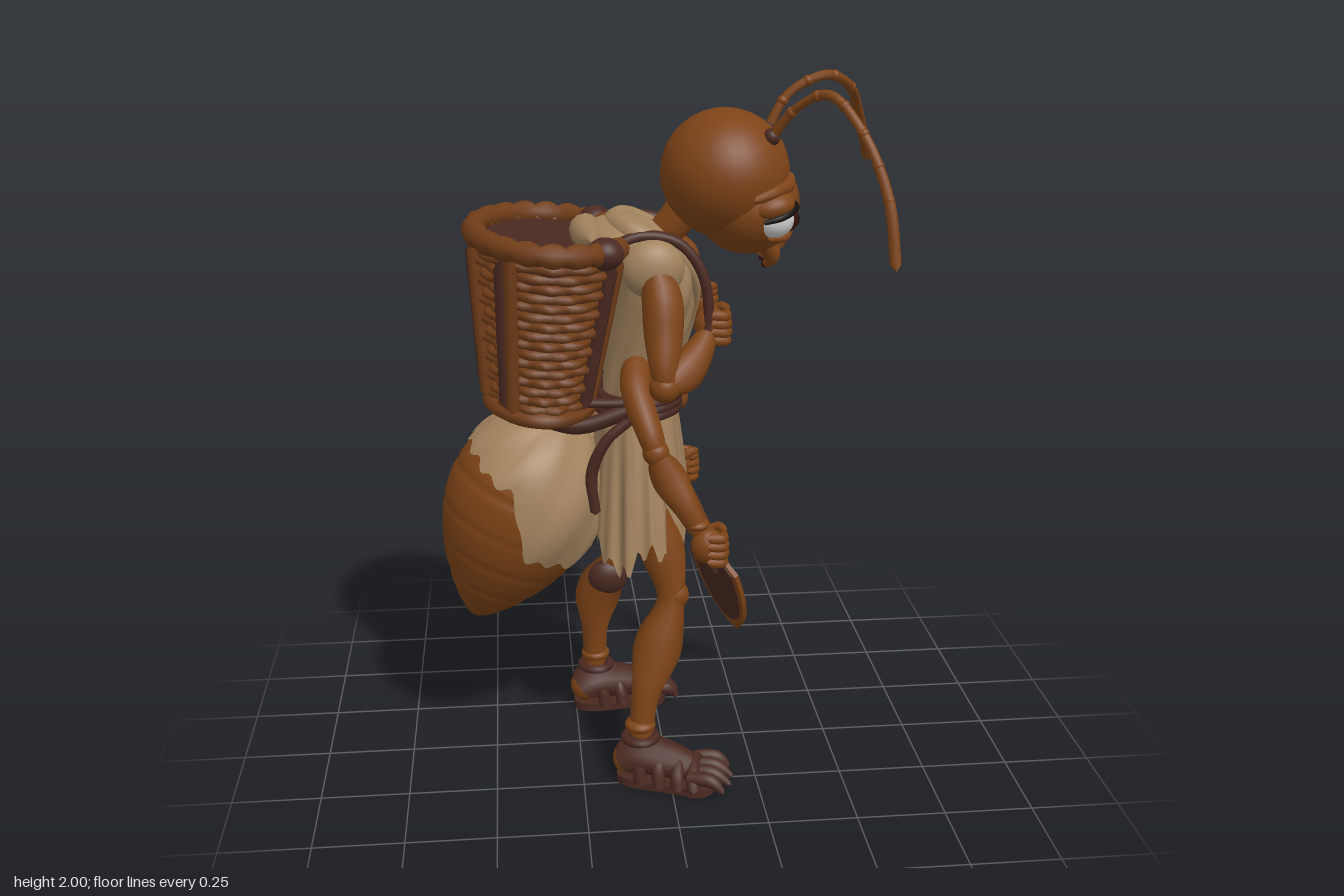
import * as THREE from 'three';
import { ParametricGeometry } from 'three/addons/geometries/ParametricGeometry.js';

const paint = (name, color, side = THREE.FrontSide) => {
  const m = new THREE.MeshStandardMaterial({ color, side });
  m.name = name;
  return m;
};
const V = (p) => new THREE.Vector3(p[0], p[1], p[2]);
const { lerp, smoothstep } = THREE.MathUtils;

export function createModel() {
  const skin = paint('chestnut skin', 0x7d4316);
  const wicker = paint('wicker brown', 0x713d18);
  const leather = paint('dark leather', 0x4a2921);
  const cloth = paint('tan cloth', 0xa1825d, THREE.DoubleSide);
  const white = paint('eye white', 0xd0d0d0);
  const iris = paint('iris brown', 0x3a130b);
  const black = paint('black', 0x15100e);
  const root = new THREE.Group();
  root.name = 'antForager';

  const add = (name, geo, mat, parent = root) => {
    const m = new THREE.Mesh(geo, mat);
    m.name = name;
    parent.add(m);
    return m;
  };
  const ball = (name, c, r, mat, parent) => {
    const m = add(name, new THREE.SphereGeometry(1, 28, 20), mat, parent);
    m.position.set(...c);
    m.scale.set(...(Array.isArray(r) ? r : [r, r, r]));
    return m;
  };
  // Rounded sweep through [x, y, z, radius] points; stretch flattens or widens its section
  const sweep = (name, pts, mat, parent, stretch = [1, 1, 1], seg = 28, sides = 12) => {
    const path = new THREE.CatmullRomCurve3(pts.map(V));
    const rad = new THREE.CatmullRomCurve3(pts.map((p) => new THREE.Vector3(p[3], 0, 0)), false, 'catmullrom');
    const g = new THREE.TubeGeometry(path, seg, 1, sides);
    const pos = g.attributes.position, L = path.getLength(), v = new THREE.Vector3();
    for (let i = 0; i <= seg; i++) {
      const u = i / seg, c = path.getPointAt(u);
      const r = rad.getPoint(path.getUtoTmapping(u)).x, d = Math.min(u, 1 - u) * L;
      const k = d < r ? r * Math.sqrt(Math.max(0, 1 - (1 - d / r) ** 2)) : r;
      for (let j = 0; j <= sides; j++) {
        const n = i * (sides + 1) + j;
        v.fromBufferAttribute(pos, n).sub(c).multiplyScalar(k).multiply(V(stretch)).add(c);
        pos.setXYZ(n, v.x, v.y, v.z);
      }
    }
    return add(name, g, mat, parent);
  };
  // Closed elliptical ring with optional radial weave bumps
  const ring = (name, c, rx, rz, r, mat, parent, bump = () => 0, seg = 96) => {
    const pts = Array.from({ length: 72 }, (_, i) => {
      const a = (i / 72) * Math.PI * 2, b = bump(a);
      return new THREE.Vector3(c[0] + Math.cos(a) * (rx + b), c[1], c[2] + Math.sin(a) * (rz + b));
    });
    return add(name, new THREE.TubeGeometry(new THREE.CatmullRomCurve3(pts, true), seg, r, 6, true), mat, parent);
  };
  const sheet = (name, f, nu, nv, mat, parent) => add(name, new ParametricGeometry(f, nu, nv), mat, parent);

  // Torso tunic: [y, centre x, radius x, radius z]
  const body = [[1.06, -0.07, 0.1, 0.14], [1.2, -0.06, 0.1, 0.14], [1.32, -0.04, 0.115, 0.165],
    [1.43, -0.03, 0.125, 0.19], [1.52, -0.05, 0.12, 0.19], [1.58, -0.06, 0.085, 0.13], [1.6, -0.06, 0.01, 0.01]];
  const curveA = new THREE.CatmullRomCurve3(body.map((b) => new THREE.Vector3(b[0], b[1], 0)), false, 'catmullrom');
  const curveB = new THREE.CatmullRomCurve3(body.map((b) => new THREE.Vector3(b[2], b[3], 0)), false, 'catmullrom');
  sheet('tunicTop', (u, v, t) => {
    const a = u * Math.PI * 2, p = curveA.getPoint(v), q = curveB.getPoint(v);
    const fold = 0.005 * Math.sin(a * 9 + v * 14);
    t.set(p.y + Math.cos(a) * (q.x + fold), p.x, Math.sin(a) * (q.y + fold));
  }, 56, 24, cloth);
  // Ragged, pleated skirt
  sheet('tunicSkirt', (u, v, t) => {
    const a = u * Math.PI * 2, fold = v * 0.011 * (Math.sin(a * 11) + 0.5 * Math.sin(a * 17 + 1));
    const hem = 0.68 + 0.035 * Math.sin(a * 5 + 0.6) + 0.025 * Math.sin(a * 23);
    const s = Math.pow(v, 0.7);
    t.set(-0.07 + Math.cos(a) * (lerp(0.105, 0.145, s) + fold), lerp(1.11, hem, v), Math.sin(a) * (lerp(0.145, 0.242, s) + fold));
  }, 110, 12, cloth);
  sweep('lapel', [[0.0, 1.57, 0.12, 0.02], [0.08, 1.46, 0.08, 0.024], [0.082, 1.32, 0, 0.02], [0.035, 1.14, -0.07, 0.014]], cloth, root, [0.6, 1, 1.2]);
  sweep('lapel', [[0.0, 1.57, -0.11, 0.02], [0.085, 1.46, -0.06, 0.022], [0.09, 1.36, 0.01, 0.014]], cloth, root, [0.6, 1, 1.2]);
  ball('chestSkin', [0.035, 1.49, 0.01], [0.07, 0.07, 0.055], skin);
  // Hood gathered behind the neck
  ball('hood', [-0.11, 1.56, 0.03], [0.125, 0.06, 0.145], cloth);
  sweep('hoodRoll', [[-0.2, 1.57, -0.09, 0.035], [-0.215, 1.58, 0.03, 0.04], [-0.2, 1.57, 0.15, 0.035]], cloth);
  sweep('hoodRoll', [[0.0, 1.55, -0.1, 0.03], [-0.09, 1.59, -0.08, 0.035], [-0.13, 1.595, 0.03, 0.035], [-0.09, 1.59, 0.13, 0.035], [0.0, 1.55, 0.13, 0.03]], cloth);

  // Belt and hanging strap
  for (const y of [1.08, 1.1, 1.12]) ring('belt', [-0.07, y, 0], 0.115, 0.155, 0.016, leather);
  ball('buckle', [0.055, 1.1, 0.005], [0.02, 0.042, 0.045], skin);
  sweep('hangingStrap', [[0.01, 1.1, -0.12, 0.014], [0.04, 0.98, -0.135, 0.014], [0.06, 0.85, -0.15, 0.014]], leather, root, [0.8, 1, 2]);

  // Neck and head, tilted a little to one side
  sweep('neck', [[-0.06, 1.46, 0.02, 0.065], [-0.02, 1.54, 0.025, 0.05], [0.03, 1.6, 0.04, 0.05], [0.09, 1.68, 0.05, 0.06]], skin);
  const head = new THREE.Group();
  head.name = 'head';
  head.position.set(0.17, 1.7, 0.055);
  head.rotation.x = 0.14;
  root.add(head);
  ball('skull', [-0.005, 0.035, 0], [0.175, 0.172, 0.182], skin, head);
  ball('face', [0.055, -0.045, 0], [0.145, 0.138, 0.172], skin, head);
  sweep('muzzle', [[0.09, 0.0, 0, 0.085], [0.12, -0.09, 0, 0.08], [0.113, -0.165, 0, 0.055], [0.108, -0.205, 0, 0.035]], skin, head, [0.9, 1, 1.2]);
  for (const s of [-1, 1]) {
    ball('eye', [0.108, -0.055, s * 0.122], [0.06, 0.052, 0.053], white, head);
    ball('iris', [0.144, -0.058, s * 0.112], [0.036, 0.038, 0.038], iris, head);
    ball('pupil', [0.166, -0.06, s * 0.114], [0.017, 0.022, 0.021], black, head);
    ball('upperLid', [0.1, -0.02, s * 0.118], [0.068, 0.04, 0.06], skin, head).rotation.z = 0.18;
    sweep('lash', [[0.172, -0.025, s * 0.075, 0.008], [0.168, -0.028, s * 0.125, 0.01], [0.125, -0.038, s * 0.17, 0.009], [0.075, -0.05, s * 0.175, 0.006]], black, head);
    sweep('brow', [[0.168, 0.035, s * 0.03, 0.012], [0.153, 0.025, s * 0.085, 0.018], [0.112, 0.022, s * 0.137, 0.016], [0.05, 0.01, s * 0.17, 0.012]], skin, head);
    sweep('lowerLid', [[0.165, -0.097, s * 0.08, 0.01], [0.145, -0.108, s * 0.12, 0.011], [0.095, -0.103, s * 0.152, 0.01]], skin, head);
    sweep('mandible', [[0.1, -0.14, s * 0.065, 0.03], [0.125, -0.185, s * 0.052, 0.022], [0.112, -0.225, s * 0.022, 0.009]], skin, head);
    ball('mandibleTip', [0.112, -0.218, s * 0.026], 0.011, iris, head);
  }
  // Jointed antennae
  const feelers = [
    [[0.275, 1.84, 0.15], [0.33, 1.92, 0.2], [0.4, 1.96, 0.265], [0.47, 1.88, 0.345], [0.53, 1.72, 0.41], [0.55, 1.54, 0.445]],
    [[0.28, 1.845, 0.04], [0.34, 1.94, 0.03], [0.445, 1.985, 0.01], [0.52, 1.95, -0.05], [0.57, 1.87, -0.155], [0.635, 1.71, -0.285]]];
  for (const f of feelers) {
    sweep('antenna', f.map((p, i) => [...p, [0.014, 0.012, 0.013, 0.013, 0.015, 0.016][i]]), skin, root, [1, 1, 1], 40, 8);
    const path = new THREE.CatmullRomCurve3(f.map(V));
    for (let i = 1; i < 8; i++) ball('antennaJoint', path.getPointAt(i / 8).toArray(), 0.015, skin);
    ball('antennaSocket', f[0], 0.023, leather);
  }

  // Hand: palm with curled fingers
  const hand = (c, s) => {
    ball('palm', c, [0.045, 0.05, 0.038], skin);
    for (let i = 0; i < 4; i++) {
      const y = c[1] + 0.034 - i * 0.023, k = 0.9 + 0.1 * Math.sin((i + 0.5) * 0.785);
      sweep('finger', [[c[0] - 0.005, y, c[2] + s * 0.034 * k, 0.014], [c[0] + 0.036 * k, y - 0.004, c[2] + s * 0.028, 0.015],
        [c[0] + 0.045 * k, y - 0.006, c[2] - s * 0.008, 0.014], [c[0] + 0.02, y - 0.006, c[2] - s * 0.033, 0.012]], skin, root, [1, 1, 1], 14, 8);
    }
    sweep('thumb', [[c[0] - 0.01, c[1] + 0.02, c[2] - s * 0.03, 0.015], [c[0] + 0.03, c[1] + 0.045, c[2] - s * 0.025, 0.014], [c[0] + 0.05, c[1] + 0.04, c[2], 0.011]], skin, root, [1, 1, 1], 14, 8);
  };
  for (const s of [-1, 1]) {
    // Upper arms hold the basket straps
    ball('sleeve', [-0.04, 1.5, s * 0.17], [0.085, 0.08, 0.055], cloth);
    sweep('upperArm', [[-0.03, 1.49, s * 0.19, 0.045], [-0.02, 1.42, s * 0.235, 0.055], [-0.02, 1.34, s * 0.26, 0.052], [-0.02, 1.25, s * 0.285, 0.038], [-0.01, 1.2, s * 0.285, 0.035]], skin);
    ball('elbow', [-0.02, 1.205, s * 0.285], 0.042, skin);
    sweep('forearm', [[-0.02, 1.2, s * 0.285, 0.036], [0.03, 1.235, s * 0.26, 0.055], [0.075, 1.275, s * 0.215, 0.043], [0.11, 1.32, s * 0.16, 0.028]], skin);
    hand([0.12, 1.335, s * 0.14], s);
    // Lower arms hang down
    const w = s > 0 ? 0.34 : -0.305;
    sweep('lowerUpperArm', [[-0.08, 1.24, s * 0.13, 0.04], [-0.09, 1.18, s * 0.22, 0.042], [-0.06, 1.08, s * 0.295, 0.036], [-0.04, 1.02, s * 0.305, 0.03]], skin);
    ball('lowerElbow', [-0.045, 1.03, s * 0.305], 0.036, skin);
    sweep('lowerForearm', [[-0.045, 1.03, s * 0.305, 0.03], [-0.01, 0.96, s * 0.32, 0.048], [0.035, 0.88, w, 0.034], [0.075, 0.8, w, 0.024]], skin);
    ball('wristBand', [0.062, 0.835, w], [0.034, 0.017, 0.034], skin);
    hand([0.09, 0.775, w + s * 0.01], s);
    // Basket straps over the shoulders
    sweep('shoulderStrap', [[-0.19, 1.53, s * 0.17, 0.016], [-0.08, 1.585, s * 0.155, 0.016], [0.03, 1.565, s * 0.15, 0.016],
      [0.095, 1.48, s * 0.155, 0.016], [0.11, 1.34, s * 0.155, 0.016], [0.06, 1.22, s * 0.165, 0.014], [-0.08, 1.14, s * 0.175, 0.014], [-0.24, 1.13, s * 0.16, 0.014]], leather, root, [0.9, 0.9, 1.7], 44);
    sweep('hipStrap', [[-0.1, 1.1, s * 0.15, 0.014], [-0.25, 1.06, s * 0.15, 0.014], [-0.4, 1.1, s * 0.12, 0.014]], leather, root, [1, 1.7, 1]);
    sweep('sideStrap', [[-0.1, 1.08, s * 0.165, 0.014], [-0.17, 1.02, s * 0.17, 0.014], [-0.21, 0.92, s * 0.16, 0.014], [-0.2, 0.8, s * 0.16, 0.012]], leather, root, [1.2, 1, 1]);
  }

  // Legs: [x, y, z, radius] from hip to ankle
  const legs = [
    [1, [-0.07, 0.96, 0.09, 0.06], [-0.055, 0.8, 0.135, 0.068], [-0.012, 0.68, 0.155, 0.064], [0.01, 0.54, 0.165, 0.04], [-0.03, 0.41, 0.2, 0.07], [-0.068, 0.27, 0.225, 0.04], [-0.085, 0.13, 0.235, 0.036]],
    [-1, [-0.08, 0.96, -0.09, 0.06], [-0.07, 0.8, -0.135, 0.068], [-0.08, 0.68, -0.155, 0.064], [-0.12, 0.54, -0.165, 0.04], [-0.175, 0.41, -0.2, 0.07], [-0.188, 0.27, -0.225, 0.04], [-0.187, 0.13, -0.235, 0.036]]];
  for (const [s, ...p] of legs) {
    sweep('leg', p, skin, root, [1, 1, 1], 48, 16);
    ball('knee', [p[3][0] + 0.01, p[3][1] + 0.01, p[3][2]], [0.042, 0.045, 0.038], skin);
    ball('ankleBone', [p[6][0], 0.18, p[6][2]], [0.044, 0.022, 0.046], skin);
    // Sandalled foot
    const foot = new THREE.Group();
    foot.name = 'foot';
    foot.position.set(p[6][0], 0, p[6][2]);
    foot.rotation.y = -s * 0.24;
    root.add(foot);
    const sole = new THREE.Shape();
    sole.moveTo(-0.07, 0).bezierCurveTo(-0.07, 0.08, 0.08, 0.05, 0.16, 0.085);
    sole.bezierCurveTo(0.25, 0.09, 0.25, -0.09, 0.16, -0.085).bezierCurveTo(0.08, -0.05, -0.07, -0.08, -0.07, 0);
    add('sole', new THREE.ExtrudeGeometry(sole, { depth: 0.025, bevelEnabled: false }).rotateX(-Math.PI / 2), leather, foot);
    sweep('footBody', [[-0.065, 0.055, 0, 0.05], [-0.01, 0.085, 0, 0.055], [0.07, 0.075, 0, 0.05], [0.17, 0.045, 0, 0.035]], leather, foot, [1, 1, 1.35]);
    [[0.01, 0.105, 0.07], [0.065, 0.09, 0.08], [0.12, 0.072, 0.085], [0.165, 0.055, 0.085]].forEach(([x, y, z]) =>
      sweep('sandalStrap', [[x, 0.015, -z, 0.014], [x - 0.005, y * 0.85, -z * 0.75, 0.015], [x - 0.01, y + 0.02, 0, 0.015], [x - 0.005, y * 0.85, z * 0.75, 0.015], [x, 0.015, z, 0.014]], leather, foot, [1.3, 1, 1]));
    ring('ankleStrap', [0, 0.14, 0], 0.043, 0.045, 0.014, leather, foot, undefined, 32);
    ball('heel', [-0.035, 0.07, 0], [0.045, 0.045, 0.055], skin, foot);
    for (let i = 0; i < 4; i++) {
      const z = (i - 1.5) * 0.04;
      sweep('toe', [[0.14, 0.05, z, 0.02], [0.215, 0.05, z * 1.15, 0.02], [0.275 - Math.abs(z) * 0.4, 0.015, z * 1.2, 0.008]], leather, foot, [1, 1, 1], 14, 8);
    }
  }
  ball('kneePatch', [-0.15, 0.475, -0.15], [0.06, 0.055, 0.036], leather);

  // Abdomen with stepped segments, hung behind the waist
  const abdomen = new THREE.Group();
  abdomen.name = 'abdomen';
  abdomen.position.set(-0.28, 1.07, 0);
  abdomen.rotation.z = -0.405;
  root.add(abdomen);
  const girth = (t) => 0.225 * Math.pow(Math.sin(Math.PI * Math.pow(Math.min(t, 1), 0.82)), 0.72);
  const steps = [0.36, 0.52, 0.67, 0.81];
  const profile = Array.from({ length: 61 }, (_, i) => {
    const t = 1 - i / 60, k = steps.filter((s) => t > s).length;
    const lip = k ? Math.max(0, 1 - (t - steps[k - 1]) / 0.03) : 0;
    return new THREE.Vector2(Math.max(0.0001, girth(t) - lip * 0.006), -t * 0.69);
  });
  add('abdomenShell', new THREE.LatheGeometry(profile, 48), skin, abdomen);
  // Ragged cloth draped over it: deep on one side, a short flap on the other
  sheet('abdomenCloth', (u, v, t) => {
    const a = u * Math.PI * 2, b = Math.min(a, Math.PI * 2 - a);
    const deep = 0.25 + 0.07 * smoothstep(b, 0, 1.2) + 0.25 * smoothstep(b, 1.2, 1.8) - 0.3 * smoothstep(b, 2.45, 3.0);
    const flap = 0.25 + 0.29 * smoothstep(b, 0.75, 1.4) - 0.46 * smoothstep(b, 1.45, 1.65);
    const end = lerp(flap, deep, a < Math.PI ? 1 : smoothstep(b, 3.0, 3.14)) + 0.014 * Math.sin(a * 19);
    const q = lerp(0.015, end, v), r = girth(q) + 0.012 + 0.004 * Math.sin(a * 8 + v * 6);
    t.set(-Math.cos(a) * r, -q * 0.69, Math.sin(a) * r);
  }, 128, 16, cloth, abdomen);
  sweep('petiole', [[-0.1, 1.05, 0, 0.06], [-0.2, 1.04, 0, 0.045], [-0.3, 1.0, 0, 0.07]], skin);

  // Woven basket
  const basket = new THREE.Group();
  basket.name = 'basket';
  basket.position.set(-0.345, 1.11, 0.025);
  basket.rotation.z = -0.08;
  root.add(basket);
  const rx = (t) => lerp(0.13, 0.195, t), rz = (t) => lerp(0.215, 0.292, t), H = 0.45;
  const at = (a, t, out = 0) => [Math.cos(a) * (rx(t) + out), t * H, Math.sin(a) * (rz(t) + out)];
  for (let i = 0; i < 18; i++) {
    const t = i / 17;
    ring('weaveRow', [0, t * H, 0], rx(t), rz(t), 0.0135, wicker, basket, (a) => 0.007 * Math.cos(a * 12 + i * Math.PI));
  }
  const lining = add('lining', new THREE.CylinderGeometry(rx(1) - 0.004, rx(0) - 0.004, H, 40), leather, basket);
  lining.position.y = H / 2;
  lining.scale.z = rz(0.5) / rx(0.5);
  for (const a of [0.55, 2.1, 2.9, -0.55, -2.1, -2.9]) {
    sweep('post', [0, 0.33, 0.66, 1].map((t) => [...at(a, t, 0.018), 0.018]), wicker, basket, [1, 1, 1], 16, 8);
    sweep('basketStrap', [0.03, 0.5, 0.97].map((t) => [...at(a + 0.15, t, 0.018), 0.015]), leather, basket, [1.2, 1, 1.2], 16, 8);
  }
  for (let i = 0; i < 20; i++) {
    const a = (i / 20) * Math.PI * 2, w = 0.2;
    sweep('rimSegment', [a - w, a - w / 2, a, a + w / 2, a + w].map((k, j) => [...at(k, 1.03, 0.008), j === 2 ? 0.034 : 0.031]), wicker, basket, [1, 1, 1], 14, 10);
  }
  for (const a of [-0.85, 0.85]) ball('rimBinding', at(a, 1.03, 0.012), [0.048, 0.043, 0.048], leather, basket);
  ring('baseHoop', [0, 0, 0], rx(0) + 0.01, rz(0) + 0.01, 0.022, wicker, basket);

  // Shovel in the lower left hand
  sweep('shovelHandle', [[0.06, 0.84, -0.305, 0.018], [0.09, 0.74, -0.31, 0.017], [0.145, 0.62, -0.325, 0.016], [0.19, 0.5, -0.345, 0.018], [0.205, 0.42, -0.352, 0.02]], wicker);
  sweep('shovelSocket', [[0.17, 0.54, -0.34, 0.021], [0.195, 0.47, -0.35, 0.025], [0.215, 0.38, -0.355, 0.02]], leather);
  const blade = new THREE.Group();
  blade.name = 'shovelBlade';
  const across = V([0.11, 0, 0.175]).normalize(), down = V([0.11, -0.265, -0.025]).normalize();
  const out = new THREE.Vector3().crossVectors(across, down.clone().negate()).normalize();
  blade.applyMatrix4(new THREE.Matrix4().makeBasis(across, new THREE.Vector3().crossVectors(out, across), out).setPosition(0.2, 0.43, -0.352));
  root.add(blade);
  const plate = (name, k, depth, z, mat) => {
    const s = new THREE.Shape();
    s.moveTo(-0.07 * k, 0.01).lineTo(0.07 * k, 0.01).lineTo(0.104 * k, -0.03);
    s.bezierCurveTo(0.105 * k, -0.16, 0.07 * k, -0.24, 0, -0.295 * k);
    s.bezierCurveTo(-0.07 * k, -0.24, -0.105 * k, -0.16, -0.104 * k, -0.03);
    add(name, new THREE.ExtrudeGeometry(s, { depth, bevelEnabled: false }).translate(0, 0, z), mat, blade);
  };
  plate('bladeRim', 1, 0.016, -0.008, skin);
  plate('bladeFace', 0.84, 0.022, -0.011, leather);
  return root;
}
